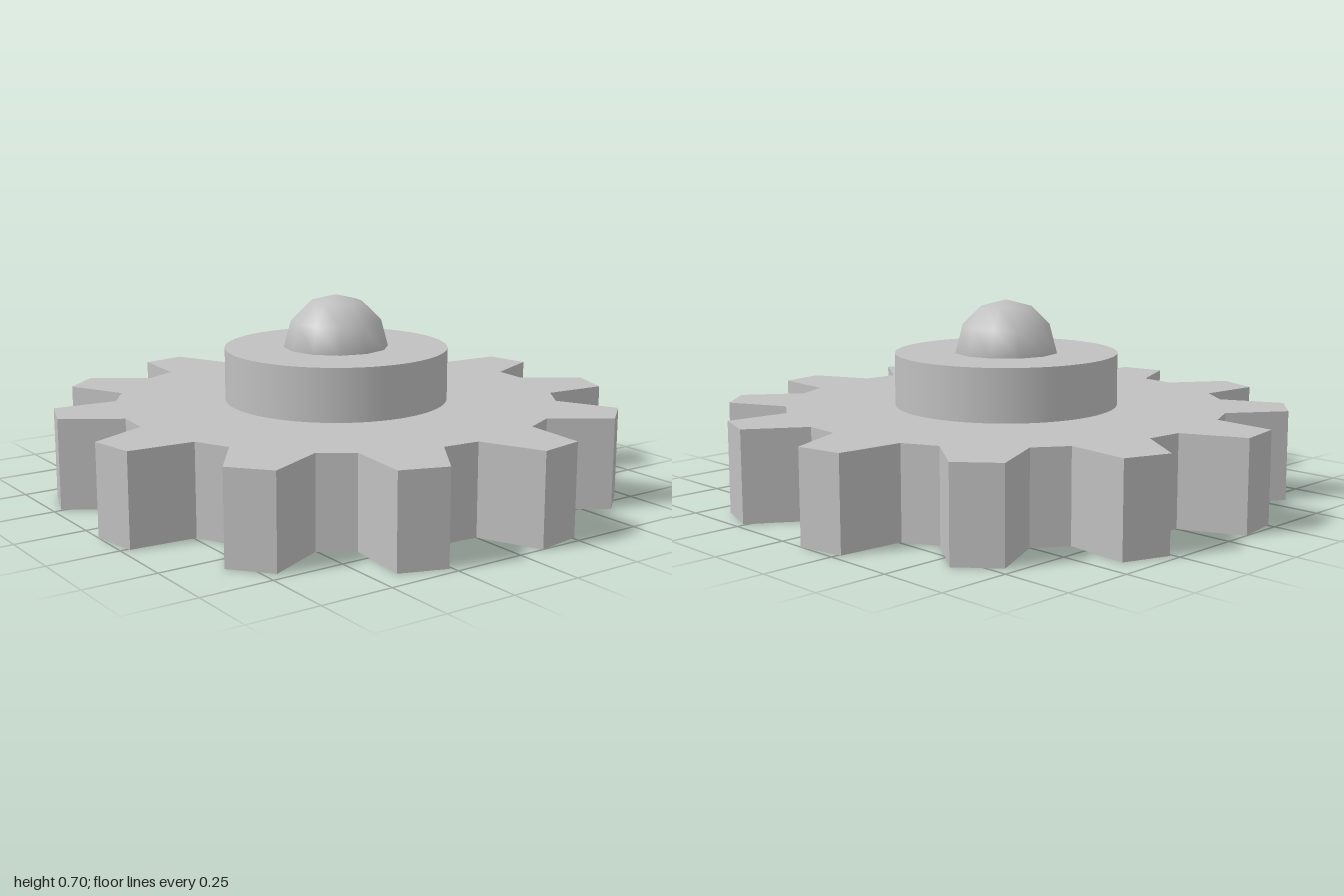
import * as THREE from 'three';

export function createModel() {
  const group = new THREE.Group();
  const metal = new THREE.MeshStandardMaterial({ color: 0xc0c0c0 });
  metal.name = 'grey metal';

  const add = (name, geometry, y) => {
    const mesh = new THREE.Mesh(geometry, metal);
    mesh.name = name;
    mesh.position.y = y;
    group.add(mesh);
  };

  const teeth = 12, gearHeight = 0.32, hubTop = 0.508;
  // One tooth: [angle in degrees, radius], repeated around the wheel
  const tooth = [[0, 0.79], [5.45, 1.0045], [14.95, 1.0045], [20.4, 0.79]];
  const outline = [];
  for (let i = 0; i < teeth; i++) {
    for (const [degrees, r] of tooth) {
      const a = THREE.MathUtils.degToRad(degrees + i * 360 / teeth);
      outline.push(new THREE.Vector2(r * Math.cos(a), r * Math.sin(a)));
    }
  }

  // Toothed wheel lying flat
  const wheel = new THREE.ExtrudeGeometry(new THREE.Shape(outline), { depth: gearHeight, bevelEnabled: false });
  wheel.rotateX(-Math.PI / 2);
  add('gearWheel', wheel, 0);

  // Round raised hub
  const hubHeight = hubTop - gearHeight;
  add('hub', new THREE.CylinderGeometry(0.4, 0.4, hubHeight, 64), gearHeight + hubHeight / 2);

  // Domed axle end
  add('axleCap', new THREE.SphereGeometry(0.188, 12, 3, 0, Math.PI * 2, 0, Math.PI / 2), hubTop);

  return group;
}
